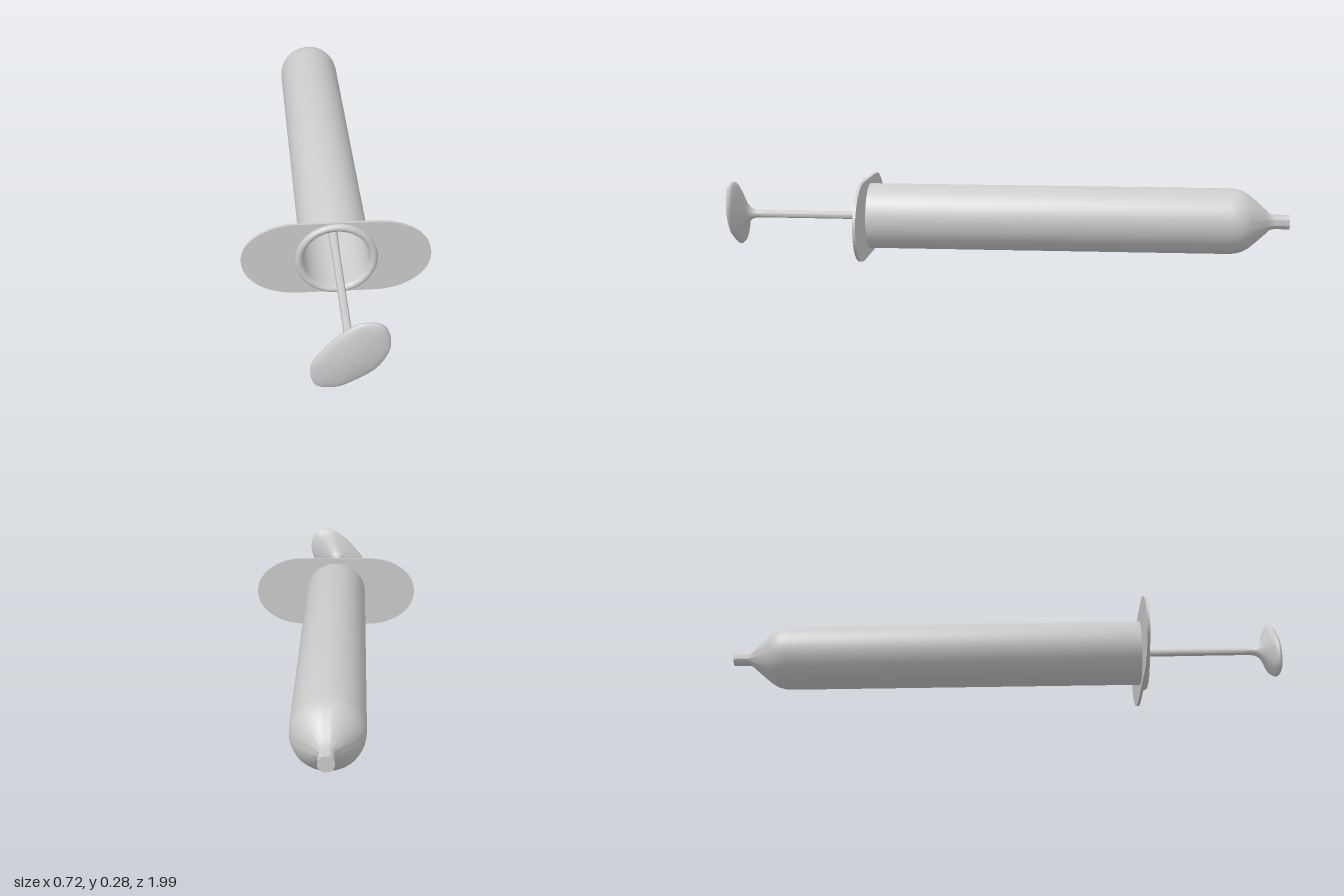
import * as THREE from 'three';
import { toCreasedNormals } from 'three/addons/utils/BufferGeometryUtils.js';

const material = new THREE.MeshStandardMaterial({ color: 0xcccccc, side: THREE.DoubleSide });

function addMesh(group, name, geometry) {
  const mesh = new THREE.Mesh(geometry, material);
  mesh.name = name;
  group.add(mesh);
}

// Turned part around the z axis; points are [radius, z]
function turned(points, crease = 0.6) {
  const profile = points.map(([r, z]) => new THREE.Vector2(r, z));
  const geometry = new THREE.LatheGeometry(profile, 64).rotateX(Math.PI / 2);
  return toCreasedNormals(geometry, crease);
}

// Oval finger plate with a round hole for the barrel
function flangeGeometry() {
  const s = new THREE.Shape();
  const a = 0.13, w = 0.318, h = 0.14, k = 0.56;
  s.moveTo(-a, -h);
  s.lineTo(a, -h);
  s.bezierCurveTo(a + (w - a) * k, -h, w, -h * k, w, 0);
  s.bezierCurveTo(w, h * k, a + (w - a) * k, h, a, h);
  s.lineTo(-a, h);
  s.bezierCurveTo(-a - (w - a) * k, h, -w, h * k, -w, 0);
  s.bezierCurveTo(-w, -h * k, -a - (w - a) * k, -h, -a, -h);
  const hole = new THREE.Path();
  hole.absarc(0, 0, 0.113, 0, Math.PI * 2, true);
  s.holes.push(hole);
  const g = new THREE.ExtrudeGeometry(s, { depth: 0.01, bevelEnabled: false, curveSegments: 32 });
  return toCreasedNormals(g.translate(0, 0, -0.005), 0.6);
}

// Thumb rest: an uneven outline scaled along z, blending into the round rod
function thumbRestGeometry() {
  const outline = new THREE.CatmullRomCurve3([
    [0.118, 0.036], [0.095, 0.11], [0.035, 0.122], [-0.012, 0.1], [-0.07, 0.045],
    [-0.119, -0.03], [-0.109, -0.105], [-0.048, -0.12], [0.013, -0.095], [0.082, -0.045],
  ].map(([x, y]) => new THREE.Vector3(x, y, 0)), true);
  const n = 64;
  const edge = outline.getPoints(n).slice(0, n);
  // [size, z]; small sizes are round, large ones follow the outline
  const rings = [
    [0.12, 0.39], [0.125, 0.41], [0.15, 0.425], [0.21, 0.437], [0.34, 0.448], [0.55, 0.458],
    [0.8, 0.469], [0.95, 0.478], [1, 0.485], [0.99, 0.491], [0.93, 0.497],
    [0.75, 0.502], [0.45, 0.507], [0.2, 0.509], [0.001, 0.51],
  ];
  const positions = [], index = [];
  rings.forEach(([size, z], j) => {
    const round = 1 - THREE.MathUtils.smoothstep(size, 0.12, 0.5);
    edge.forEach((p, i) => {
      const length = THREE.MathUtils.lerp(p.length(), 0.11, round) * size;
      const q = p.clone().setLength(length);
      positions.push(q.x, q.y, z);
      if (j === 0) return;
      const next = (i + 1) % n, low = (j - 1) * n, high = j * n;
      index.push(low + i, low + next, high + next, low + i, high + next, high + i);
    });
  });
  const g = new THREE.BufferGeometry();
  g.setAttribute('position', new THREE.Float32BufferAttribute(positions, 3));
  g.setIndex(index);
  g.computeVertexNormals();
  return g;
}

export function createModel() {
  const model = new THREE.Group();
  model.name = 'syringe';

  // Hollow barrel: nozzle, shoulder and outer wall, then back down the inside
  addMesh(model, 'barrel', turned([
    [0, -1.515], [0.026, -1.515], [0.026, -1.46], [0.031, -1.445], [0.045, -1.43],
    [0.075, -1.396], [0.098, -1.368], [0.11, -1.347], [0.116, -1.325], [0.118, -1.3],
    [0.118, 0], [0.113, 0.012], [0.11, 0], [0.108, -1.3], [0.09, -1.35], [0, -1.42],
  ]));

  // Rounded ring around the mouth
  addMesh(model, 'mouthRing', turned([
    [0.113, -0.004], [0.138, -0.004], [0.138, 0.012], [0.135, 0.018], [0.128, 0.021],
    [0.121, 0.02], [0.115, 0.016], [0.112, 0.01], [0.112, -0.004],
  ], 0.9));

  addMesh(model, 'fingerFlange', flangeGeometry());

  // Plunger rod, widening inside the barrel to the piston
  addMesh(model, 'plungerRod', turned([
    [0, -1.25], [0.105, -1.25], [0.105, -1.19], [0.06, -1.17], [0.036, -1.1],
    [0.024, -0.55], [0.014, 0], [0.0132, 0.395],
  ]));

  addMesh(model, 'thumbRest', thumbRestGeometry());

  // Lay the part along its slanted axis
  model.rotation.set(-0.008, -0.222, 0, 'YXZ');
  model.position.set(-0.05, 0.14, 0.485);
  const root = new THREE.Group();
  root.name = 'model';
  root.add(model);
  return root;
}
